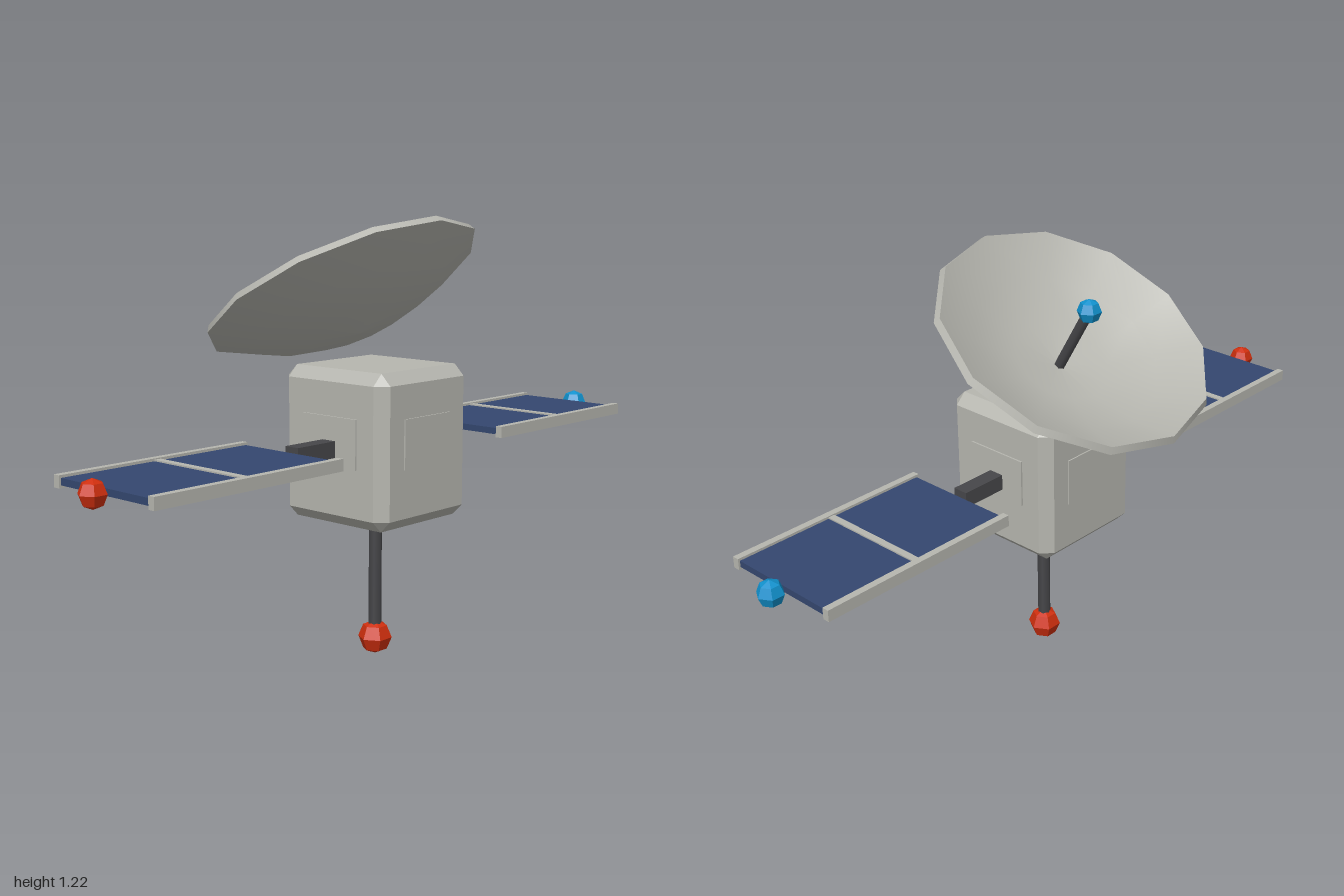
import * as THREE from 'three';
import { ConvexGeometry } from 'three/addons/geometries/ConvexGeometry.js';

const CZ = 0.123; // depth of the body centre line
const PY = 0.61; // height of the wings

function material(name, color, extra = {}) {
  const m = new THREE.MeshStandardMaterial({ color, ...extra });
  m.name = name;
  return m;
}

// Box with every edge cut at 45 degrees
function chamferedBox(w, h, d, c) {
  const points = [];
  for (const x of [-1, 1]) for (const y of [-1, 1]) for (const z of [-1, 1]) {
    const [a, b, e] = [w / 2, h / 2, d / 2];
    points.push(
      new THREE.Vector3(x * a, y * (b - c), z * (e - c)),
      new THREE.Vector3(x * (a - c), y * b, z * (e - c)),
      new THREE.Vector3(x * (a - c), y * (b - c), z * e));
  }
  return new ConvexGeometry(points);
}

export function createModel() {
  const model = new THREE.Group();
  model.name = 'satellite';

  const hull = material('hull grey', 0xb6b6af);
  const dark = material('strut grey', 0x47474a);
  const solar = material('solar blue', 0x34476f);
  const red = material('signal red', 0xcf2f0e, { flatShading: true });
  const blue = material('signal blue', 0x1191cd, { flatShading: true });

  function add(parent, name, geometry, mat, x = 0, y = 0, z = 0) {
    const mesh = new THREE.Mesh(geometry, mat);
    mesh.name = name;
    mesh.position.set(x, y, z);
    parent.add(mesh);
    return mesh;
  }
  const box = (w, h, d) => new THREE.BoxGeometry(w, h, d);
  const ball = (r) => new THREE.SphereGeometry(r, 6, 4);

  // Body with a raised hatch on each of its four sides
  add(model, 'body', chamferedBox(0.364, 0.42, 0.368, 0.031), hull, 0, 0.61, CZ);
  for (const s of [-1, 1]) {
    add(model, 'sideHatch', box(0.008, 0.135, 0.19), hull, s * 0.183, 0.63, CZ);
    add(model, 'faceHatch', box(0.19, 0.135, 0.008), hull, 0, 0.63, CZ + s * 0.184);
  }

  // Lower antenna
  add(model, 'mast', new THREE.CylinderGeometry(0.019, 0.019, 0.34, 6), dark, 0, 0.24, CZ);
  add(model, 'mastBeacon', ball(0.048), red, 0, 0.048, CZ);

  // Solar wings
  for (const s of [-1, 1]) {
    const wing = new THREE.Group();
    wing.name = s > 0 ? 'leftWing' : 'rightWing';
    wing.position.set(0, PY, CZ);
    model.add(wing);
    add(wing, 'arm', box(0.165, 0.045, 0.045), dark, s * 0.2435);
    add(wing, 'solarPanel', box(0.595, 0.018, 0.335), solar, s * 0.633);
    add(wing, 'divider', box(0.02, 0.026, 0.335), hull, s * 0.637);
    for (const t of [-1, 1])
      add(wing, 'rail', box(0.608, 0.032, 0.02), hull, s * 0.632, 0, t * 0.174);
    add(wing, 'tipLight', ball(0.037), s > 0 ? blue : red, s * 0.963);
  }

  // Dish, tipped backwards: outer shell, rim and inner bowl
  const dish = new THREE.Group();
  dish.name = 'dish';
  dish.position.set(0, 1.01, 0);
  dish.rotation.x = -Math.PI / 6;
  model.add(dish);
  const lathe = (pts) =>
    new THREE.LatheGeometry(pts.map(([r, y]) => new THREE.Vector2(r, y)), 12);
  add(dish, 'dishShell', lathe([[0, -0.129], [0.142, -0.112], [0.28, -0.065], [0.4, 0]]), hull);
  add(dish, 'dishRim', lathe([[0.4, 0], [0.39, 0.019]]), hull);
  add(dish, 'dishBowl', lathe([[0.39, 0.019], [0.272, -0.047], [0.137, -0.094], [0, -0.11]]), hull);
  add(dish, 'feedRod', new THREE.CylinderGeometry(0.016, 0.016, 0.2, 6), dark, 0, -0.012, 0);
  add(model, 'feedHorn', ball(0.034), blue, 0, 1.1, -0.052);

  return model;
}
